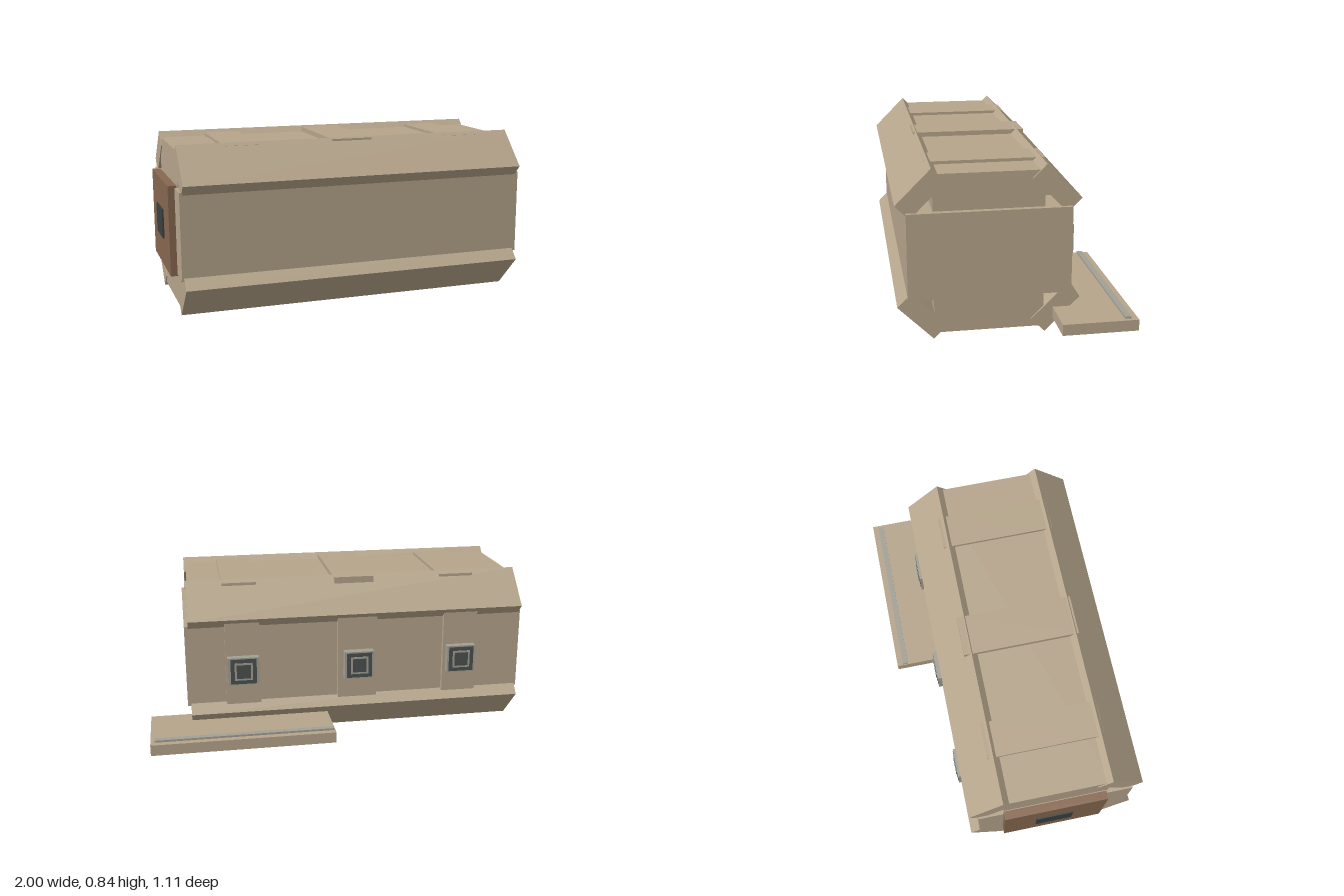
import * as THREE from 'three';

export function createModel() {
  const model = new THREE.Group();
  model.name = 'armouredContainer';

  const material = (name, color) => {
    const m = new THREE.MeshStandardMaterial({ color });
    m.name = name;
    return m;
  };
  const tan = material('tan', 0xb5a48b);
  const grey = material('grey', 0xa2a094);
  const dark = material('darkGrey', 0x4a5250);
  const brown = material('brown', 0x866850);
  const black = material('nearBlack', 0x3a4040);

  // Box given by its extents on each axis
  const box = (name, mat, [x0, x1], [y0, y1], [z0, z1], parent = model) => {
    const mesh = new THREE.Mesh(new THREE.BoxGeometry(x1 - x0, y1 - y0, z1 - z0), mat);
    mesh.position.set((x0 + x1) / 2, (y0 + y1) / 2, (z0 + z1) / 2);
    mesh.name = name;
    parent.add(mesh);
    return mesh;
  };

  // Hull: wide middle body and a tall narrow core
  box('body', tan, [-0.96, 0.808], [0.208, 0.633], [-0.275, 0.505]);
  box('core', tan, [-0.945, 0.78], [0.03, 0.81], [-0.147, 0.38]);

  // Sloped armour rails along the four long edges
  for (const [y, sy] of [[0.721, 1], [0.122, -1]]) {
    for (const [z, sz] of [[0.436, 1], [-0.203, -1]]) {
      const rail = new THREE.Mesh(new THREE.BoxGeometry(1.74, 0.095, 0.24), tan);
      rail.position.set(-0.08, y, z);
      rail.rotation.x = sy * sz * Math.PI / 4;
      rail.name = 'edgeRail';
      model.add(rail);
    }
  }

  // Three straps over the roof and down the back, each with a lamp unit
  const straps = [
    { x: [-0.715, -0.535], lamp: [-0.70, -0.55], top: 0.825, back: -0.18, lampZ: -0.335 },
    { x: [-0.178, 0.028], lamp: [-0.155, 0.0], top: 0.834, back: -0.19, lampZ: -0.342 },
    { x: [0.432, 0.608], lamp: [0.44, 0.60], top: 0.825, back: -0.18, lampZ: -0.335 },
  ];
  for (const s of straps) {
    box('roofStrap', tan, s.x, [0.7, s.top], [s.back, 0.4]);
    box('backStrap', tan, s.x, [0.213, 0.66], [-0.298, -0.147]);

    const lamp = new THREE.Group();
    lamp.name = 'lampUnit';
    model.add(lamp);
    const cx = (s.lamp[0] + s.lamp[1]) / 2;
    const cy = 0.4;
    box('lampHousing', grey, s.lamp, [0.328, 0.473], [s.lampZ, -0.295], lamp);
    // Stacked square plates on the lamp face
    [[0.066, dark], [0.046, grey], [0.036, dark]].forEach(([r, mat], i) => {
      const z = s.lampZ - 0.002 * (i + 1);
      box('lampPlate', mat, [cx - r, cx + r], [cy - r, cy + r], [z, s.lampZ], lamp);
    });
  }

  // Door panel and window on the right end
  box('endDoor', brown, [-0.992, -0.95], [0.2, 0.643], [-0.15, 0.372]);
  box('doorWindow', black, [-1.0, -0.992], [0.35, 0.497], [0.015, 0.205]);

  // Side platform with a raised strip
  box('platform', tan, [0.08, 1.0], [0.072, 0.127], [-0.555, -0.19]);
  box('platformStrip', grey, [0.085, 0.98], [0.127, 0.137], [-0.523, -0.493]);

  return model;
}
